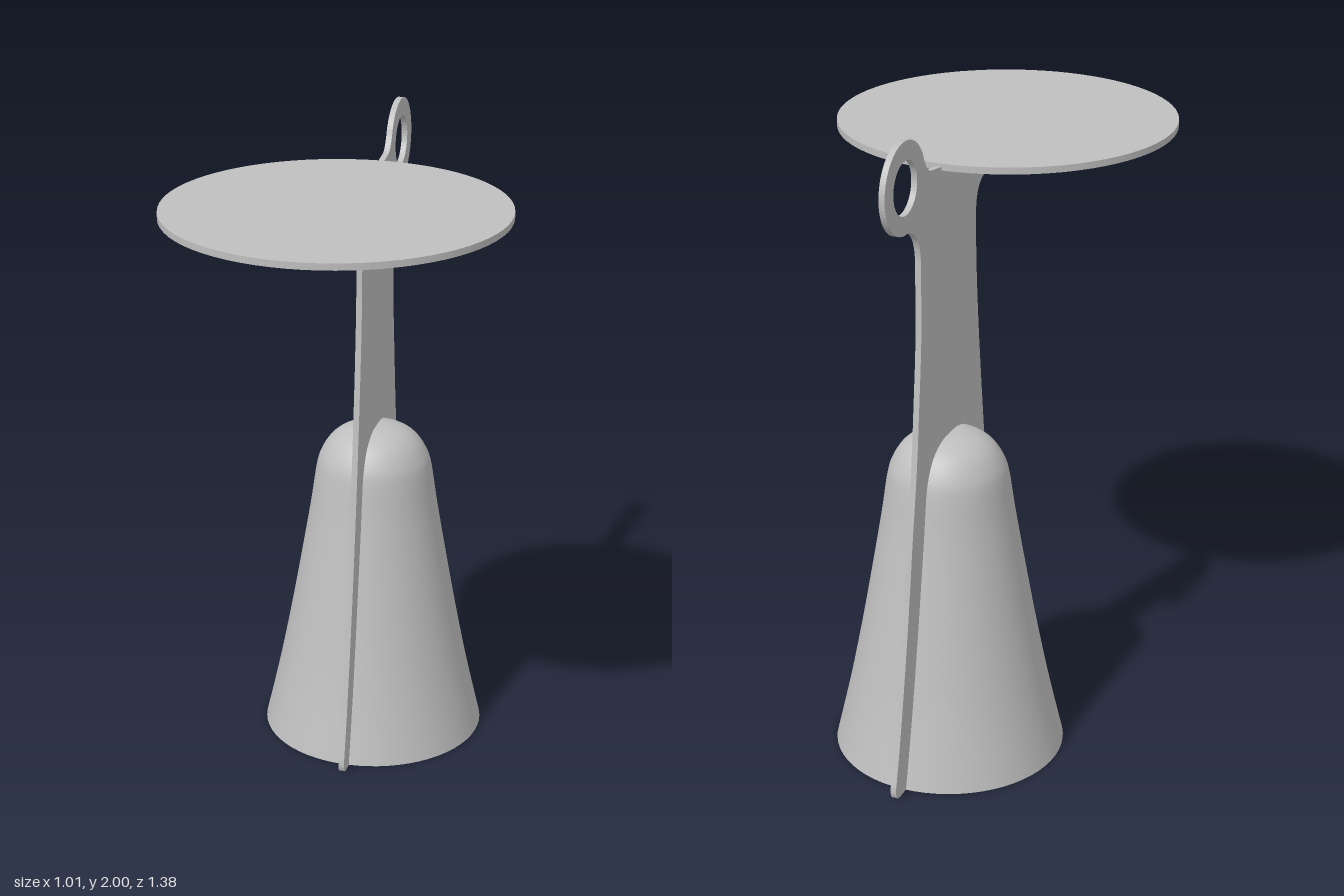
import * as THREE from 'three';

export function createModel() {
  const group = new THREE.Group();
  const grey = new THREE.MeshStandardMaterial({ color: 0xbfbfbf });
  grey.name = 'light grey';
  const add = (name, geometry, x, y, z) => {
    const mesh = new THREE.Mesh(geometry, grey);
    mesh.name = name;
    mesh.position.set(x, y, z);
    group.add(mesh);
  };
  const points = (list) => list.map(([x, y]) => new THREE.Vector2(x, y));

  // Upright blade with cantilever arm and ring handle, drawn as (z, y)
  const ringZ = -0.56, ringY = 1.868, ringR = 0.132;
  const blade = new THREE.Shape();
  blade.moveTo(-0.66, 0);
  blade.lineTo(0.12, 0);
  blade.quadraticCurveTo(0.15, 0, 0.143, 0.045);
  blade.splineThru(points([[0.107, 0.2], [0.05, 0.5], [0.003, 0.8], [-0.03, 1.05], [-0.058, 1.3], [-0.073, 1.5], [-0.075, 1.65]]));
  blade.bezierCurveTo(-0.075, 1.71, -0.045, 1.745, 0.005, 1.752);
  blade.lineTo(0.245, 1.782);
  blade.lineTo(0.46, 1.8);
  blade.quadraticCurveTo(0.505, 1.81, 0.505, 1.857);
  blade.lineTo(-0.31, 1.857);
  blade.lineTo(-0.385, 1.867);
  blade.quadraticCurveTo(-0.42, 1.87, -0.443, 1.93);
  blade.absarc(ringZ, ringY, ringR, 0.49, 4.75, false);
  blade.bezierCurveTo(-0.5, 1.73, -0.465, 1.69, -0.465, 1.62);
  blade.splineThru(points([[-0.468, 1.4], [-0.487, 1.2], [-0.51, 1], [-0.543, 0.8], [-0.59, 0.5], [-0.647, 0.2], [-0.683, 0.045]]));
  blade.quadraticCurveTo(-0.69, 0, -0.66, 0);
  const hole = new THREE.Path();
  hole.absarc(ringZ, ringY, 0.077, 0, Math.PI * 2, true);
  blade.holes.push(hole);
  const thickness = 0.018;
  const bladeGeometry = new THREE.ExtrudeGeometry(blade, { depth: thickness, bevelEnabled: false, curveSegments: 24 });
  bladeGeometry.translate(0, 0, -thickness / 2).rotateY(-Math.PI / 2);
  add('blade', bladeGeometry, 0, 0, 0);

  // Flared weight with a domed top
  const profile = new THREE.SplineCurve(points([
    [0.351, 0], [0.305, 0.2], [0.265, 0.4], [0.229, 0.6], [0.2, 0.77], [0.182, 0.89],
    [0.167, 0.94], [0.138, 0.985], [0.1, 1.013], [0.05, 1.028], [0, 1.03],
  ])).getPoints(44);
  profile[profile.length - 1].x = 0;
  add('baseBody', new THREE.LatheGeometry(profile, 64), 0, 0, -0.265);
  add('baseUnderside', new THREE.CircleGeometry(0.351, 64).rotateX(Math.PI / 2), 0, 0.001, -0.265);

  // Round table top
  add('tableTop', new THREE.CylinderGeometry(0.506, 0.506, 0.02, 72), 0, 1.857, 0.187);

  return group;
}
